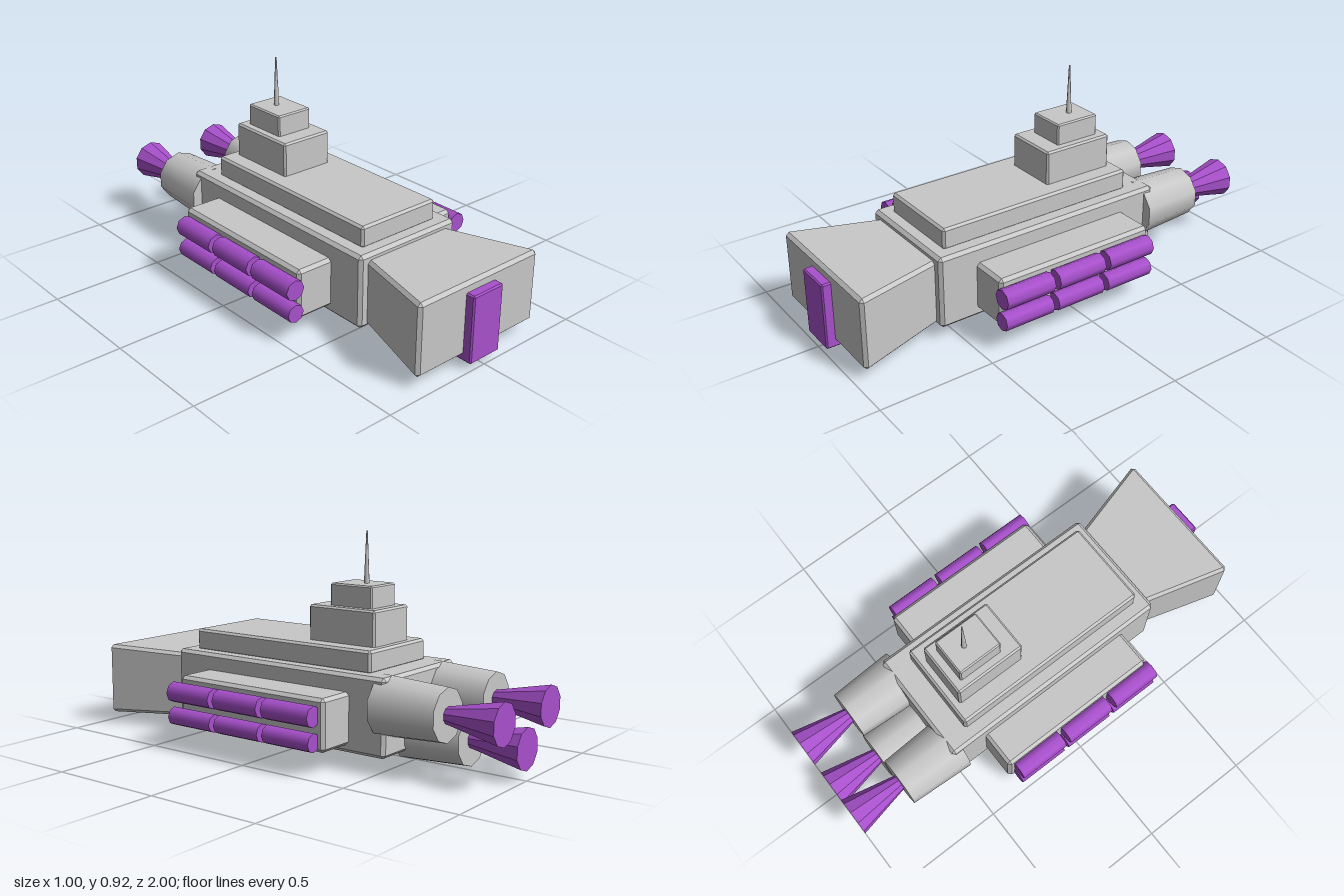
import * as THREE from 'three';
import { ConvexGeometry } from 'three/addons/geometries/ConvexGeometry.js';

const hullGrey = new THREE.MeshStandardMaterial({ color: 0xc8c8c8 });
hullGrey.name = 'hull grey';
const purple = new THREE.MeshStandardMaterial({ color: 0xa850cc });
purple.name = 'glowing purple';

// Chamfered block between a back and a front rectangle, each [halfWidth, yMin, yMax, z]
function block(back, front, c) {
  const points = [];
  for (const [end, inward] of [[back, 1], [front, -1]]) {
    const [hw, y0, y1, z] = end;
    for (const sx of [-1, 1]) {
      for (const [y, up] of [[y0, 1], [y1, -1]]) {
        points.push(new THREE.Vector3(sx * hw, y + up * c, z + inward * c));
        points.push(new THREE.Vector3(sx * (hw - c), y, z + inward * c));
        points.push(new THREE.Vector3(sx * (hw - c), y + up * c, z));
      }
    }
  }
  return new ConvexGeometry(points);
}

const box = (hw, y0, y1, z0, z1, c = 0.01) => block([hw, y0, y1, z0], [hw, y0, y1, z1], c);

// Cylinder lying along z from z0 (back) to z1 (front)
function barrel(rBack, rFront, z0, z1, sides) {
  return new THREE.CylinderGeometry(rFront, rBack, z1 - z0, sides)
    .rotateX(Math.PI / 2)
    .translate(0, 0, (z0 + z1) / 2);
}

function faceted(geometry) {
  const flat = geometry.toNonIndexed();
  flat.computeVertexNormals();
  return flat;
}

export function createModel() {
  const model = new THREE.Group();
  model.name = 'spaceship';
  const add = (name, geometry, material, x = 0, y = 0, z = 0) => {
    const mesh = new THREE.Mesh(geometry, material);
    mesh.name = name;
    mesh.position.set(x, y, z);
    model.add(mesh);
  };

  // Body, flared nose and stepped tower
  add('hull', box(0.262, 0.057, 0.378, -0.52, 0.58, 0.014), hullGrey);
  add('nose', block([0.215, 0.066, 0.35, 0.54], [0.325, 0.05, 0.365, 0.96], 0.014), hullGrey);
  add('nosePlate', box(0.081, 0.028, 0.323, 0.885, 1, 0.006), purple);
  add('deck', box(0.2, 0.37, 0.465, -0.41, 0.522), hullGrey);
  add('lowerTower', box(0.123, 0.455, 0.613, -0.375, -0.045, 0.008), hullGrey);
  add('upperTower', box(0.086, 0.6, 0.705, -0.335, -0.127, 0.006), hullGrey);
  add('antenna', new THREE.CylinderGeometry(0.003, 0.012, 0.22, 8), hullGrey, 0, 0.81, -0.25);

  // Side pods, each with two rows of three tanks
  for (const [side, s] of [['left', 1], ['right', -1]]) {
    const pod = box(0.1, 0.09, 0.305, -0.352, 0.408, 0.014);
    add(side + 'Pod', pod, hullGrey, s * 0.328);
    for (const [row, x, y, r] of [['upper', 0.455, 0.238, 0.044], ['lower', 0.453, 0.134, 0.039]]) {
      for (let i = 0; i < 3; i++) {
        const z = 0.305 - i * 0.257;
        add(`${side}${row}Tank${i + 1}`, barrel(r, r, -0.116, 0.116, 8), purple, s * x, y, z);
      }
    }
  }

  // Three engines with flared exhaust plumes
  for (const [name, x, y] of [['left', 0.187, 0.257], ['right', -0.187, 0.257], ['bottom', 0, 0.125]]) {
    add(name + 'Engine', barrel(0.11, 0.125, -0.76, -0.47, 10), hullGrey, x, y);
    add(name + 'Exhaust', faceted(barrel(0.087, 0.034, -1, -0.755, 10)), purple, x, y);
  }
  return model;
}
